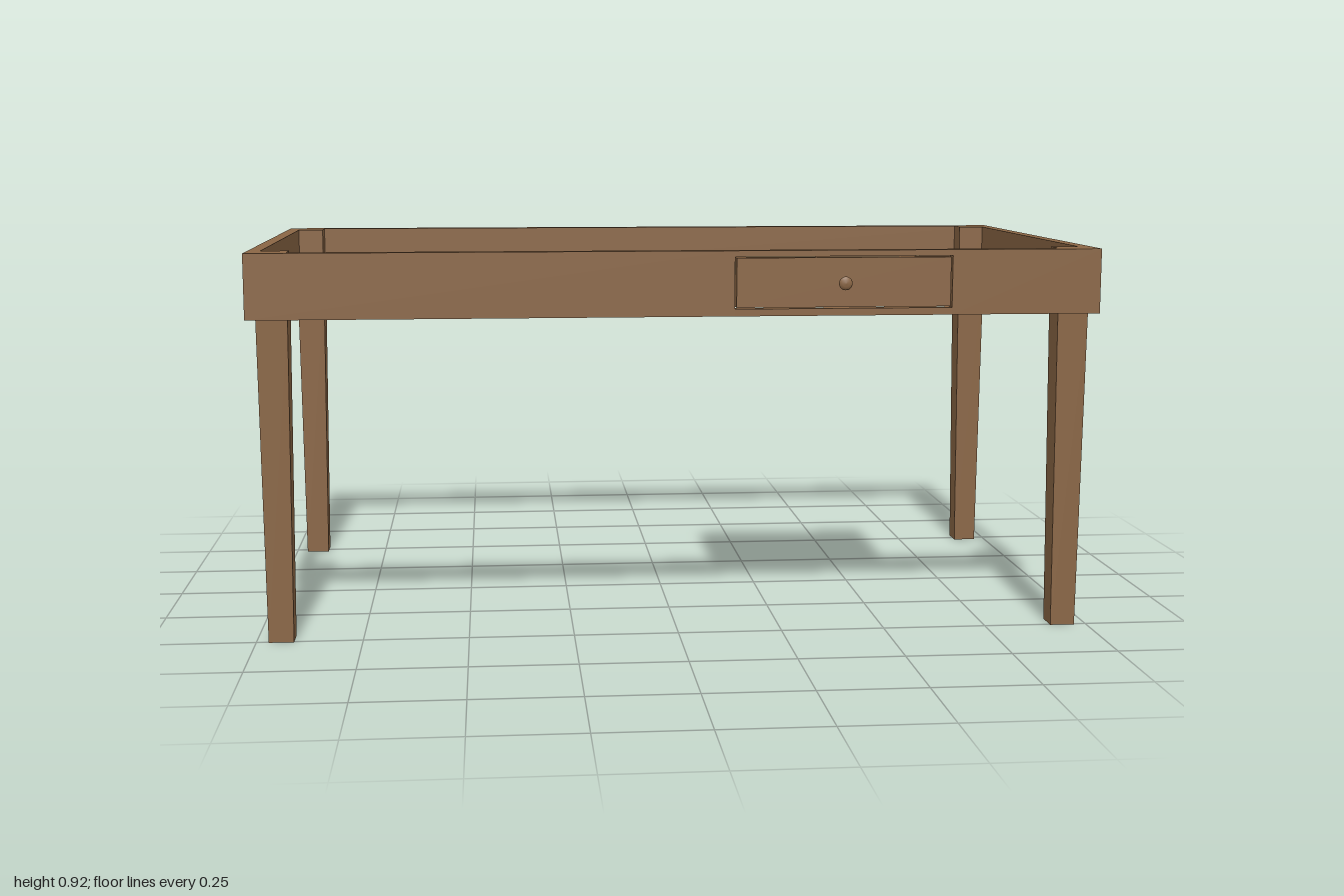
import * as THREE from 'three';

const wood = new THREE.MeshStandardMaterial({ color: 0x8a6645 });
wood.name = 'brown wood';
const paleWood = new THREE.MeshStandardMaterial({ color: 0xa68b66 });
paleWood.name = 'pale drawer wood';

// Box given by its limits on each axis
function slab(name, [x0, x1], [y0, y1], [z0, z1], material = wood) {
  const mesh = new THREE.Mesh(new THREE.BoxGeometry(x1 - x0, y1 - y0, z1 - z0), material);
  mesh.position.set((x0 + x1) / 2, (y0 + y1) / 2, (z0 + z1) / 2);
  mesh.name = name;
  return mesh;
}

const APRON = [0.765, 0.918];
const FRONT = [0.503, 0.533];
const BACK = [-0.56, -0.53];

// Square leg: straight inside the apron, tapering to the floor
function leg(name, x, z) {
  const group = new THREE.Group();
  group.name = name;
  const top = 0.073, foot = 0.059, h = APRON[0];
  const taper = new THREE.BoxGeometry(top, h, top);
  const p = taper.attributes.position;
  for (let i = 0; i < p.count; i++) {
    if (p.getY(i) < 0) {
      p.setX(i, p.getX(i) * foot / top);
      p.setZ(i, p.getZ(i) * foot / top);
    }
  }
  taper.computeVertexNormals();
  const lower = new THREE.Mesh(taper, wood);
  lower.position.y = h / 2;
  lower.name = 'legTaper';
  group.add(lower, slab('legBlock', [-top / 2, top / 2], APRON, [-top / 2, top / 2]));
  group.position.set(x, 0, z);
  return group;
}

function createDrawer() {
  const drawer = new THREE.Group();
  drawer.name = 'drawer';
  const x = [0.143, 0.627], y = [0.797, 0.885], z = [0.115, 0.505], t = 0.01;
  drawer.add(
    slab('drawerFront', [0.132, 0.639], [0.785, 0.901], FRONT),
    slab('drawerSideRight', [x[0], x[0] + t], y, z, paleWood),
    slab('drawerSideLeft', [x[1] - t, x[1]], y, z, paleWood),
    slab('drawerBack', [x[0] + t, x[1] - t], y, [z[0], z[0] + t], paleWood),
    slab('drawerFloor', [x[0] + t, x[1] - t], [0.801, 0.809], [z[0] + t, z[1]], paleWood),
  );

  // Turned knob pointing forwards
  const profile = [[0, 0], [0.011, 0], [0.009, 0.004], [0.005, 0.009], [0.006, 0.013],
    [0.014, 0.018], [0.016, 0.021], [0.014, 0.025], [0.008, 0.027], [0, 0.028]];
  const knob = new THREE.Mesh(
    new THREE.LatheGeometry(profile.map(([r, h]) => new THREE.Vector2(r, h)), 24), wood);
  knob.rotation.x = Math.PI / 2;
  knob.position.set(0.385, 0.842, FRONT[1]);
  knob.name = 'knob';
  drawer.add(knob);
  return drawer;
}

export function createModel() {
  const model = new THREE.Group();
  model.name = 'tableFrame';

  // Back rail and front rail, the front one open for the drawer
  const open = [0.128, 0.643];
  model.add(
    slab('backRail', [-1, 1], APRON, BACK),
    slab('frontRailRight', [-1, open[0]], APRON, FRONT),
    slab('frontRailLeft', [open[1], 1], APRON, FRONT),
    slab('railAboveDrawer', open, [0.904, APRON[1]], FRONT),
    slab('railBelowDrawer', open, [APRON[0], 0.782], FRONT),
  );

  // Side rails and legs
  for (const [side, s] of [['Left', 1], ['Right', -1]]) {
    const x = s > 0 ? [0.97, 1] : [-1, -0.97];
    model.add(
      slab('sideRail' + side, x, APRON, [BACK[1], FRONT[0]]),
      leg('frontLeg' + side, s * 0.941, 0.476),
      leg('backLeg' + side, s * 0.941, -0.504),
    );
  }

  model.add(createDrawer());
  return model;
}
